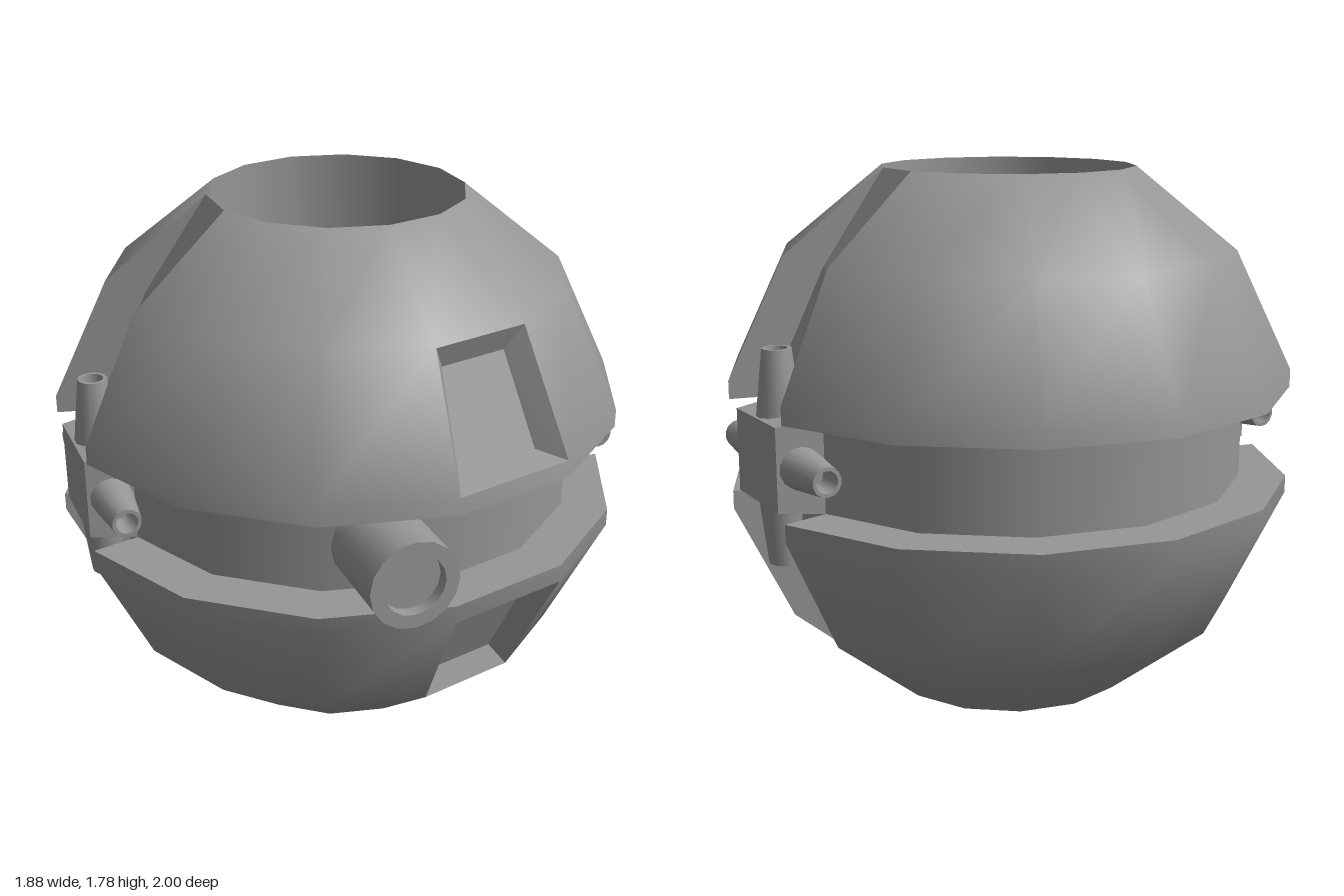
import * as THREE from 'three';
import { toCreasedNormals } from 'three/addons/utils/BufferGeometryUtils.js';

const HEIGHT = 1.783, MID = HEIGHT / 2, AXIS_Z = -0.037, SIDES = 14;
const material = new THREE.MeshStandardMaterial({ color: 0x969696 });
const twoSided = new THREE.MeshStandardMaterial({ color: 0x969696, side: THREE.DoubleSide });

// Point on the body at radius r, height y and side number k (0 = front)
const at = (r, y, k) => {
  const a = (k / SIDES) * Math.PI * 2;
  return [r * Math.sin(a), y, r * Math.cos(a) + AXIS_Z];
};
const range = (from, to) => Array.from({ length: to - from + 1 }, (_, i) => from + i);
// Turns a lower profile into the matching upper one
const flip = (profile) => profile.map(([r, y]) => [r, HEIGHT - y]).reverse();

// Grid surface through rows of points
function loft(rows, skip = () => false) {
  const cols = rows[0].length, index = [];
  for (let i = 0; i < rows.length - 1; i++) {
    for (let j = 0; j < cols - 1; j++) {
      if (skip(i, j)) continue;
      const a = i * cols + j, d = a + cols;
      index.push(a, a + 1, d + 1, a, d + 1, d);
    }
  }
  const geometry = new THREE.BufferGeometry();
  geometry.setAttribute('position', new THREE.Float32BufferAttribute(rows.flat(2), 3));
  geometry.setIndex(index);
  geometry.computeVertexNormals();
  return geometry;
}
const sweep = (profile, k0, k1, skip) =>
  loft(profile.map(([r, y]) => range(k0, k1).map((k) => at(r, y, k))), skip);

// Rounds the shading: vertical 1 = like a ball, 0 = like a tube; facing -1 = inward
function roundNormals(geometry, vertical, facing = 1) {
  const { position, normal } = geometry.attributes;
  const n = new THREE.Vector3();
  for (let i = 0; i < position.count; i++) {
    n.fromBufferAttribute(position, i).sub(new THREE.Vector3(0, MID, AXIS_Z));
    n.y *= vertical;
    n.normalize().multiplyScalar(facing);
    normal.setXYZ(i, n.x, n.y, n.z);
  }
  return geometry;
}

const lathe = (points, sides) => toCreasedNormals(
  new THREE.LatheGeometry(points.map(([r, y]) => new THREE.Vector2(r, y)), sides), 0.6);

export function createModel() {
  const model = new THREE.Group();
  const add = (parent, name, geometry, mat = material) => {
    const mesh = new THREE.Mesh(geometry, mat);
    mesh.name = name;
    parent.add(mesh);
    return mesh;
  };

  const hull = [[0.43, 0], [0.77, 0.275], [0.962, 0.675], [0.962, 0.735]];
  const floor = [[0.43, 0], [0.64, 0.32], [0.803, 0.675], [0.803, 0.735]];
  const ledge = [[0.962, 0.735], [0.803, 0.735]];

  // Lower and upper shell halves, split by a vertical groove on each side
  for (const [half, fix] of [['lower', (p) => p], ['upper', flip]]) {
    const shell = new THREE.Group();
    shell.name = half + 'Shell';
    model.add(shell);
    add(shell, 'backHull', roundNormals(sweep(fix(hull), 4, 10), 1));
    add(shell, 'frontHull', roundNormals(sweep(fix(hull), 11, 17, (i, j) => i === 1 && j === 3), 1));
    add(shell, 'backLedge', sweep(fix(ledge), 4, 10));
    add(shell, 'frontLedge', sweep(fix(ledge), 11, 17));
    for (const k of [3, 10]) add(shell, 'grooveFloor', toCreasedNormals(sweep(fix(floor), k, k + 1), 0.05));
    for (const k of [3, 4, 10, 11]) {
      const outer = fix(hull), inner = fix(floor);
      const rows = outer.map(([r, y], i) => [at(r, y, k), at(inner[i][0], inner[i][1], k)]);
      add(shell, 'grooveWall', loft(rows), twoSided);
    }
  }

  // Recessed waist band and the open shaft through the middle
  add(model, 'waist', roundNormals(sweep([[0.803, 0.735], [0.803, HEIGHT - 0.735]], 0, SIDES), 0));
  add(model, 'shaftWall', roundNormals(sweep([[0.43, HEIGHT], [0.43, 0]], 0, SIDES), 0, -1));

  // Recessed windows in the front
  const rim = [[0.962, 0.675, 0], [0.962, 0.675, 1], [0.77, 0.275, 1], [0.77, 0.275, 0]].map((p) => at(...p));
  const pane = [[0.04, 0.65, 0.828], [0.335, 0.65, 0.761], [0.275, 0.355, 0.64], [0.04, 0.355, 0.693]];
  for (const upper of [true, false]) {
    const place = ([x, y, z]) => [x, upper ? HEIGHT - y : y, z];
    const o = rim.map(place), p = pane.map(place);
    const recess = new THREE.Group();
    recess.name = upper ? 'upperWindow' : 'lowerWindow';
    model.add(recess);
    // The lower window is a mirror image, so its corners run the other way
    const quad = (a, b, c, d) => loft(upper ? [[a, b], [c, d]] : [[b, a], [d, c]]);
    add(recess, 'windowPane', quad(p[0], p[1], p[3], p[2]), twoSided);
    for (let i = 0; i < 4; i++) {
      const n = (i + 1) % 4;
      add(recess, 'windowWall', quad(o[i], o[n], p[i], p[n]), twoSided);
    }
  }

  // Round port at the front, with a shallow recess
  const port = add(model, 'frontPort',
    lathe([[0.145, 0.7], [0.145, 1], [0.1, 1], [0.1, 0.96], [0, 0.96]], 16).rotateX(Math.PI / 2));
  port.position.set(-0.175, MID, 0);

  // Side thrusters: a tapered block with four hollow nozzles
  const nozzle = lathe([[0.075, 0.12], [0.048, 0.354], [0.036, 0.354], [0.03, 0.26], [0, 0.26]], 14);
  const block = new THREE.BoxGeometry(0.16, 0.316, 0.356);
  const pos = block.attributes.position;
  for (let i = 0; i < pos.count; i++) {
    if (pos.getX(i) > 0) pos.setXYZ(i, pos.getX(i), pos.getY(i) * 0.87, pos.getZ(i) * 0.88);
  }
  block.computeVertexNormals();
  for (const side of [1, -1]) {
    const thruster = new THREE.Group();
    thruster.name = side > 0 ? 'leftThruster' : 'rightThruster';
    thruster.position.set(side * 0.855, MID, AXIS_Z);
    thruster.rotation.y = side > 0 ? 0 : Math.PI;
    add(thruster, 'thrusterBlock', block);
    for (let i = 0; i < 4; i++) add(thruster, 'nozzle', nozzle).rotation.x = (i * Math.PI) / 2;
    model.add(thruster);
  }
  return model;
}
